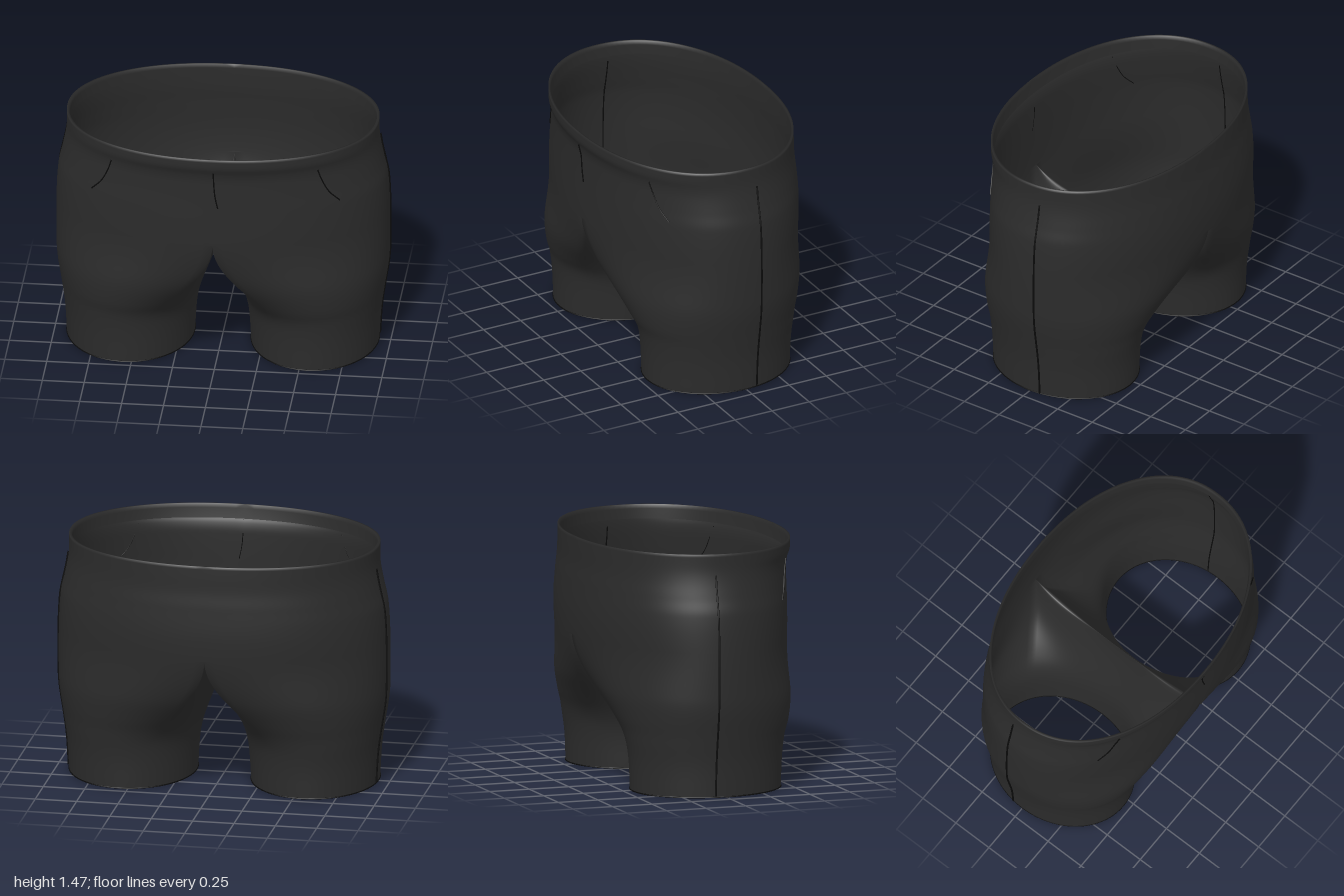
import * as THREE from 'three';
import { mergeVertices } from 'three/addons/utils/BufferGeometryUtils.js';

// Smooth interpolation through [height, value] pairs
function profile(pts) {
  const slope = (i) => {
    const a = pts[Math.max(0, i - 1)], b = pts[Math.min(pts.length - 1, i + 1)];
    return (b[1] - a[1]) / (b[0] - a[0]);
  };
  return (y) => {
    if (y <= pts[0][0]) return pts[0][1];
    if (y >= pts[pts.length - 1][0]) return pts[pts.length - 1][1];
    let i = 0;
    while (y > pts[i + 1][0]) i++;
    const h = pts[i + 1][0] - pts[i][0], s = (y - pts[i][0]) / h, s2 = s * s, s3 = s2 * s;
    return (2 * s3 - 3 * s2 + 1) * pts[i][1] + (s3 - 2 * s2 + s) * h * slope(i)
      + (3 * s2 - 2 * s3) * pts[i + 1][1] + (s3 - s2) * h * slope(i + 1);
  };
}

// Silhouettes by height: side, front, back and inner leg
const side = profile([[0, 0.93], [0.2, 0.942], [0.35, 0.962], [0.5, 0.985], [0.6, 0.992], [0.9, 0.992],
  [1.1, 0.98], [1.2, 0.958], [1.3, 0.938], [1.37, 0.93], [1.465, 0.93]]);
const front = profile([[0, 0.46], [0.2, 0.468], [0.32, 0.485], [0.4, 0.52], [0.55, 0.572], [0.7, 0.595],
  [0.9, 0.61], [1.3, 0.614], [1.36, 0.625], [1.4, 0.643], [1.465, 0.645]]);
const back = profile([[0, 0.453], [0.2, 0.463], [0.35, 0.49], [0.45, 0.53], [0.6, 0.59], [0.8, 0.63],
  [1, 0.646], [1.2, 0.64], [1.3, 0.632], [1.4, 0.63], [1.465, 0.628]]);
const inner = profile([[0, 0.17], [0.2, 0.157], [0.3, 0.14], [0.4, 0.11], [0.5, 0.075], [0.6, 0.042],
  [0.7, 0.014], [0.76, 0]]);

const COLS = 96, LEG_ROWS = 44, TORSO_ROWS = 36;
const TOP = 1.465, HIP = 0.88, CROTCH = 0.765;
const SPLIT = Math.PI * 2 / 3; // loop angle where the outer leg meets the centre line
const depth = (y, s) => (s >= 0 ? front(y) : back(y));
const rounded = (c) => Math.sign(c) * Math.pow(Math.abs(c), 0.94);

// Torso half section: a runs from -90 (back centre) to 90 degrees (front centre)
function torsoPoint(y, a) {
  const c = Math.max(0, Math.cos(a)), s = Math.sin(a);
  return [c < 1e-9 ? 0 : side(y) * rounded(c), y, depth(y, s) * rounded(s)];
}

// Leg loop that opens into the torso outside and closes on the crotch curve inside
function legPoint(v, t) {
  const abs = Math.abs(t), sin = Math.sin(t);
  const isOuter = abs <= SPLIT + 1e-6;
  const zn = isOuter ? Math.sign(t) : sin / Math.sin(SPLIT);
  const top = isOuter ? HIP : CROTCH + (HIP - CROTCH) * Math.pow(Math.abs(zn), 4);
  const y = v * top;
  const mid = (side(y) + inner(y)) / 2, r = (side(y) - inner(y)) / 2;
  const x0 = mid + r * Math.cos(t), z0 = depth(y, sin) * sin;
  const s = THREE.MathUtils.smoothstep(v, 0.3, 1);
  if (isOuter) {
    const p = torsoPoint(y, t / SPLIT * Math.PI / 2);
    return [x0 + (p[0] - x0) * s, y, z0 + (p[2] - z0) * s];
  }
  const k = (abs - SPLIT) / (Math.PI - SPLIT);
  const arch = 1 - Math.sqrt(Math.max(0, 1 - v * v * v * v));
  const w = s + (arch - s) * Math.min(1, k * 1.5);
  return [v === 1 ? 0 : x0 * (1 - w), y, z0 + (depth(y, sin) * zn - z0) * w];
}

function clothGeometry() {
  const pos = [], idx = [];
  // Adds a grid of points, mirrored for the other side
  const addGrid = (rows, cols, fn) => {
    for (const m of [1, -1]) {
      const base = pos.length / 3;
      for (let i = 0; i <= rows; i++) for (let j = 0; j <= cols; j++) {
        const p = fn(i, j);
        pos.push(p[0] * m, p[1], p[2]);
      }
      for (let i = 0; i < rows; i++) for (let j = 0; j < cols; j++) {
        const a = base + i * (cols + 1) + j, b = a + 1, c = a + cols + 1, d = c + 1;
        if (m > 0) idx.push(a, c, b, b, c, d);
        else idx.push(a, b, c, b, d, c);
      }
    }
  };
  // Legs, with rows gathered towards the crotch
  addGrid(LEG_ROWS, COLS, (i, j) => {
    const u = i / LEG_ROWS;
    return legPoint(i === LEG_ROWS ? 1 : 1 - Math.pow(1 - u, 1.5), (j / COLS * 2 - 1) * Math.PI);
  });
  // Torso up to the waist, then a narrow fold turned inside
  const fold = [[TOP, 0.985], [1.44, 0.982], [1.38, 0.98]];
  const cols = Math.round(COLS * SPLIT / Math.PI);
  addGrid(TORSO_ROWS + fold.length, cols, (i, j) => {
    const a = (j / cols - 0.5) * Math.PI;
    if (i <= TORSO_ROWS) return torsoPoint(HIP + (TOP - HIP) * i / TORSO_ROWS, a);
    const [y, k] = fold[i - TORSO_ROWS - 1], p = torsoPoint(y, a);
    return [p[0] * k, y, p[2] * k];
  });
  let g = new THREE.BufferGeometry();
  g.setAttribute('position', new THREE.Float32BufferAttribute(pos, 3));
  g.setIndex(idx);
  g = mergeVertices(g, 1e-4);
  g.computeVertexNormals();
  return g;
}

export function createModel() {
  const group = new THREE.Group();
  const fabric = new THREE.MeshStandardMaterial({ color: 0x2b2b2b, side: THREE.DoubleSide });
  fabric.name = 'charcoal fabric';
  const thread = new THREE.MeshStandardMaterial({ color: 0x0a0a0a });
  thread.name = 'black thread';

  const cloth = new THREE.Mesh(clothGeometry(), fabric);
  cloth.name = 'shorts';
  group.add(cloth);

  const addSeam = (name, points, closed = false, radius = 0.004) => {
    const curve = new THREE.CatmullRomCurve3(points.map((p) => new THREE.Vector3(...p)), closed);
    const mesh = new THREE.Mesh(new THREE.TubeGeometry(curve, closed ? 96 : 40, radius, 6, closed), thread);
    mesh.name = name;
    group.add(mesh);
  };
  // Point on the front of the torso at a given x
  const onFront = (x, y) => {
    const a = Math.acos(Math.pow(Math.abs(x) / side(y), 1 / 0.94));
    return [x, y, torsoPoint(y, a)[2] + 0.003];
  };

  for (const m of [1, -1]) {
    const label = m > 0 ? 'left' : 'right';
    // Side seam
    const seam = [];
    for (let i = 0; i <= 16; i++) {
      const y = 0.01 + 1.33 * i / 16;
      seam.push([m * (side(y) - 0.001), y, -0.07]);
    }
    addSeam(label + 'SideSeam', seam, false, 0.006);
    // Slanted pocket
    addSeam(label + 'Pocket', [[0.615, 1.36], [0.64, 1.28], [0.68, 1.2], [0.74, 1.13]]
      .map(([x, y]) => onFront(m * x, y)));
    // Leg hem
    const hem = [];
    for (let i = 0; i < 32; i++) {
      const p = legPoint(0.006, (i / 32 * 2 - 1) * Math.PI);
      hem.push([m * p[0], 0.004, p[2]]);
    }
    addSeam(label + 'Hem', hem, true);
  }
  // Fly stitching
  addSeam('fly', [[0.008, 1.375], [0.009, 1.29], [0.016, 1.21], [0.032, 1.13]].map(([x, y]) => onFront(x, y)));
  return group;
}
